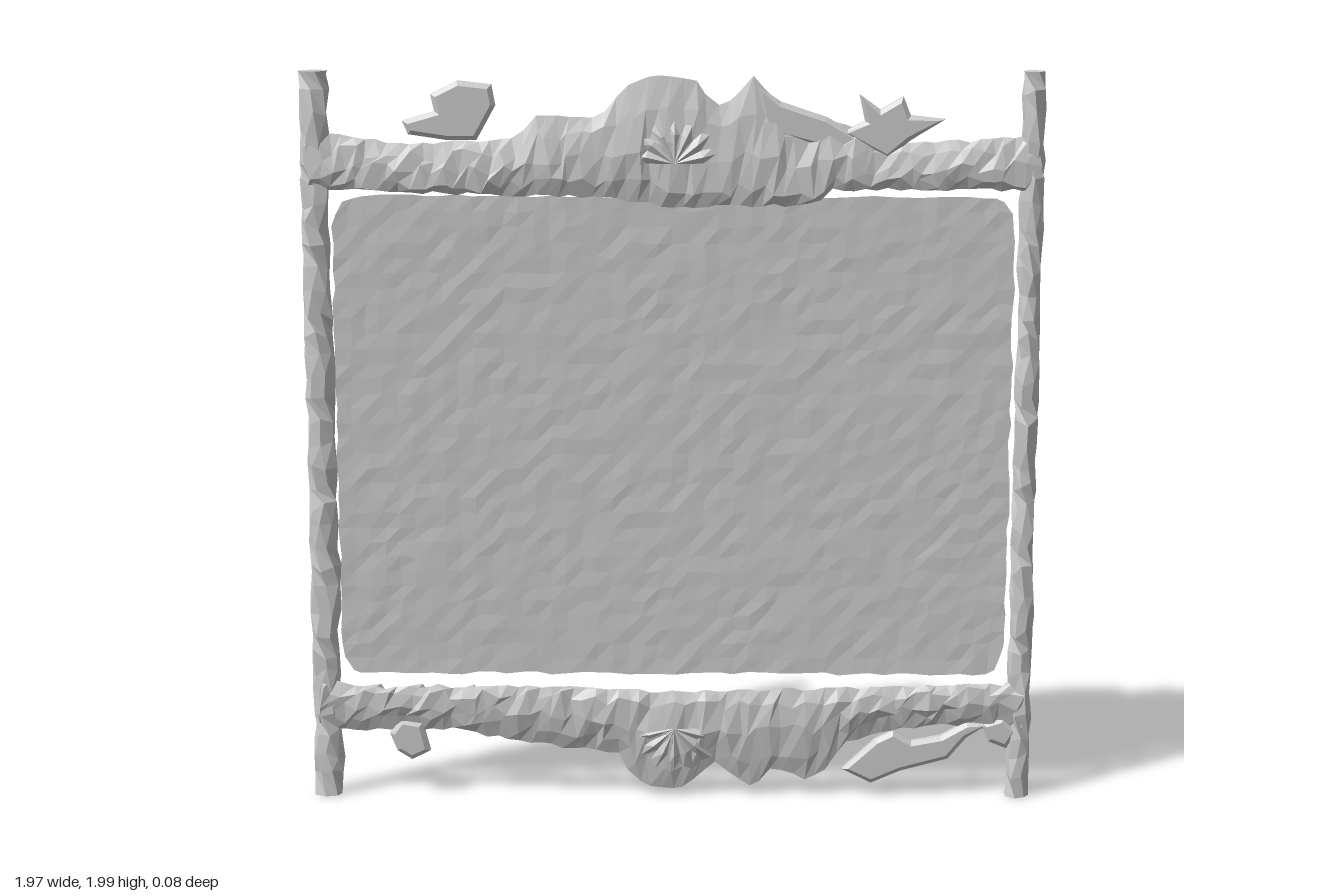
import * as THREE from 'three';

// Small seeded noise in [-1, 1]
let seed = 7;
const noise = () => {
  seed = (seed * 16807) % 2147483647;
  return (seed / 2147483647) * 2 - 1;
};

const material = new THREE.MeshStandardMaterial({ color: 0xcccccc, flatShading: true });
const sheetMaterial = new THREE.MeshStandardMaterial({
  color: 0xcccccc, flatShading: true, side: THREE.DoubleSide,
});

function addMesh(group, name, geometry, mat = material) {
  const mesh = new THREE.Mesh(geometry, mat);
  mesh.name = name;
  group.add(mesh);
  return mesh;
}

// Piecewise linear lookup in a list of [position, value]
function lookup(points, t) {
  if (t <= points[0][0]) return points[0][1];
  for (let i = 1; i < points.length; i++) {
    const [a, va] = points[i - 1], [b, vb] = points[i];
    if (t <= b) return va + (vb - va) * (t - a) / (b - a);
  }
  return points[points.length - 1][1];
}

// Closed loft through equally long rings of Vector3
function loft(rings) {
  const n = rings[0].length, pos = [], index = [];
  rings.forEach((r) => r.forEach((p) => pos.push(p.x, p.y, p.z)));
  for (let i = 0; i < rings.length - 1; i++) {
    for (let j = 0; j < n; j++) {
      const a = i * n + j, b = i * n + (j + 1) % n;
      index.push(a, b, a + n, b, b + n, a + n);
    }
  }
  const last = (rings.length - 1) * n;
  for (let j = 1; j < n - 1; j++) {
    index.push(0, j + 1, j, last, last + j, last + j + 1);
  }
  const g = new THREE.BufferGeometry();
  g.setAttribute('position', new THREE.Float32BufferAttribute(pos, 3));
  g.setIndex(index);
  g.computeVertexNormals();
  return g;
}

// Rough post: rings stacked upward
function postGeometry(x, halfWidth, flatEdge) {
  const rings = [], count = 34, sides = 7;
  for (let i = 0; i <= count; i++) {
    const y = 0.012 + (1.988 * i) / count;
    const ring = [];
    for (let j = 0; j < sides; j++) {
      const a = -(j / sides) * Math.PI * 2 + 0.4 * Math.sin(i * 1.7);
      const r = 1 + 0.16 * noise();
      const end = i === 0 || i === count;
      const px = x + Math.cos(a) * halfWidth * r;
      ring.push(new THREE.Vector3(
        flatEdge === undefined ? px : Math.max(flatEdge, px),
        y + (end ? 0 : 0.017 * noise()),
        -0.004 + Math.sin(a) * 0.031 * r));
    }
    rings.push(ring);
  }
  return loft(rings);
}

// Rough rail between a lower and an upper outline, thinning toward the carved edge
function railGeometry(lower, upper, section, count) {
  const rings = [];
  for (let i = 0; i <= count; i++) {
    const x = -0.965 + (1.92 * i) / count;
    const lo = lookup(lower, x), hi = lookup(upper, x);
    rings.push(section.map(([v, z]) => {
      const edge = v === 0 || v === 1;
      return new THREE.Vector3(
        x + (edge ? 0.004 : 0.012) * noise(),
        lo + (hi - lo) * v + (edge ? 0.005 : 0.018) * noise(),
        0.004 + z * (1 + 0.25 * noise()));
    }));
  }
  return loft(rings);
}

// Carved leaf: outline with bevelled, slightly uneven faces
function leafGeometry(outline, depth = 0.014) {
  const shape = new THREE.Shape(outline.map(([x, y]) => new THREE.Vector2(x, y)));
  const g = new THREE.ExtrudeGeometry(shape, {
    depth, bevelEnabled: true, bevelSegments: 1,
    bevelSize: 0.012, bevelOffset: -0.012, bevelThickness: 0.01,
  });
  g.translate(0, 0, -depth / 2 + 0.002);
  return g;
}

// Scalloped half fan with raised ribs
function shellGeometry(cx, cy, rx, ry, ribs) {
  const pos = [cx, cy, 0.034], index = [], n = ribs * 2;
  for (let k = 1; k <= 2; k++) {
    for (let i = 0; i <= n; i++) {
      const a = (i / n) * Math.PI, s = k === 1 ? 0.55 : (i % 2 ? 1 : 0.88);
      pos.push(cx + Math.cos(a) * rx * s, cy + Math.sin(a) * ry * s,
        k === 1 ? (i % 2 ? 0.036 : 0.024) : 0.012);
    }
  }
  const flip = ry < 0;
  const tri = (a, b, c) => (flip ? index.push(a, c, b) : index.push(a, b, c));
  for (let i = 1; i <= n; i++) {
    const o = i + n + 1;
    tri(0, i, i + 1);
    tri(i, o, o + 1);
    tri(i, o + 1, i + 1);
  }
  const g = new THREE.BufferGeometry();
  g.setAttribute('position', new THREE.Float32BufferAttribute(pos, 3));
  g.setIndex(index);
  g.computeVertexNormals();
  return g;
}

export function createModel() {
  seed = 7;
  const model = new THREE.Group();
  model.name = 'carvedFrameScreen';

  // Side posts
  addMesh(model, 'rightPost', postGeometry(-0.95, 0.04, -0.99));
  addMesh(model, 'leftPost', postGeometry(0.943, 0.032));

  // Top rail with its crest
  const topLower = [[-0.97, 1.69], [-0.6, 1.68], [-0.2, 1.67], [0, 1.645], [0.37, 1.65], [0.41, 1.69], [0.96, 1.69]];
  const topUpper = [[-0.97, 1.84], [-0.88, 1.83], [-0.7, 1.81], [-0.42, 1.82], [-0.36, 1.89], [-0.2, 1.88],
    [-0.12, 1.97], [-0.05, 1.985], [0.05, 1.98], [0.11, 1.91], [0.17, 1.94], [0.2, 1.99], [0.24, 1.95],
    [0.3, 1.89], [0.46, 1.86], [0.52, 1.81], [0.82, 1.82], [0.96, 1.84]];
  const topSection = [[0, 0.008], [0.15, 0.022], [0.45, 0.024], [0.75, 0.014], [1, 0],
    [0.75, -0.014], [0.4, -0.021], [0.12, -0.018]];
  addMesh(model, 'topRail', railGeometry(topLower, topUpper, topSection.slice().reverse(), 64));

  // Bottom rail with its hanging apron
  const lowLower = [[-0.97, 0.2], [-0.6, 0.2], [-0.45, 0.17], [-0.15, 0.13], [-0.12, 0.07], [-0.05, 0.03],
    [0.02, 0.035], [0.06, 0.06], [0.11, 0.11], [0.16, 0.06], [0.22, 0.035], [0.27, 0.09], [0.36, 0.06],
    [0.41, 0.08], [0.46, 0.16], [0.6, 0.2], [0.75, 0.22], [0.96, 0.19]];
  const lowUpper = [[-0.97, 0.35], [-0.85, 0.32], [-0.3, 0.325], [0, 0.31], [0.4, 0.32], [0.96, 0.335]];
  const lowSection = topSection.map(([v, z]) => [1 - v, z]);
  addMesh(model, 'bottomRail', railGeometry(lowLower, lowUpper, lowSection, 64));

  // Shells in the middle of both rails
  addMesh(model, 'topShell', shellGeometry(0, 1.76, 0.14, 0.14, 7), sheetMaterial);
  addMesh(model, 'bottomShell', shellGeometry(0, 0.21, 0.13, -0.14, 7), sheetMaterial);

  // Leaves springing from the rails
  const leaves = {
    topRightLeaf: [[-0.6, 1.82], [-0.52, 1.82], [-0.47, 1.91], [-0.48, 1.965], [-0.57, 1.975],
      [-0.64, 1.94], [-0.63, 1.895], [-0.715, 1.87], [-0.7, 1.835]],
    topLeftLeaf: [[0.44, 1.84], [0.56, 1.77], [0.62, 1.82], [0.71, 1.875], [0.62, 1.885], [0.6, 1.935],
      [0.54, 1.9], [0.485, 1.94], [0.5, 1.87]],
    topLeftFrond: [[0.22, 1.96], [0.28, 1.92], [0.4, 1.88], [0.52, 1.81], [0.5, 1.77], [0.24, 1.84]],
    bottomRightLeaf: [[-0.78, 0.19], [-0.76, 0.14], [-0.72, 0.115], [-0.67, 0.14], [-0.69, 0.22], [-0.75, 0.23]],
    bottomLeftLeaf: [[0.46, 0.09], [0.54, 0.05], [0.62, 0.085], [0.75, 0.12], [0.8, 0.18], [0.86, 0.22],
      [0.8, 0.225], [0.73, 0.185], [0.65, 0.17], [0.6, 0.2], [0.55, 0.175]],
    bottomLeftBud: [[0.86, 0.17], [0.91, 0.15], [0.94, 0.2], [0.9, 0.24], [0.84, 0.22]],
  };
  for (const [name, outline] of Object.entries(leaves)) addMesh(model, name, leafGeometry(outline));

  // Thin uneven panel hung toward the back, with worn corners
  const panel = new THREE.PlaneGeometry(1.81, 1.315, 44, 32);
  const p = panel.attributes.position;
  for (let i = 0; i < p.count; i++) {
    let x = p.getX(i), y = p.getY(i);
    const corner = Math.max(0, Math.abs(x) + Math.abs(y) - 1.5);
    x -= Math.sign(x) * corner * 0.4 + 0.005 * noise();
    y -= Math.sign(y) * corner * 0.2 + 0.005 * noise();
    p.setXYZ(i, x - 0.003, y + 1.01, -0.022 + 0.0016 * noise());
  }
  panel.computeVertexNormals();
  addMesh(model, 'panel', panel, sheetMaterial);

  return model;
}
